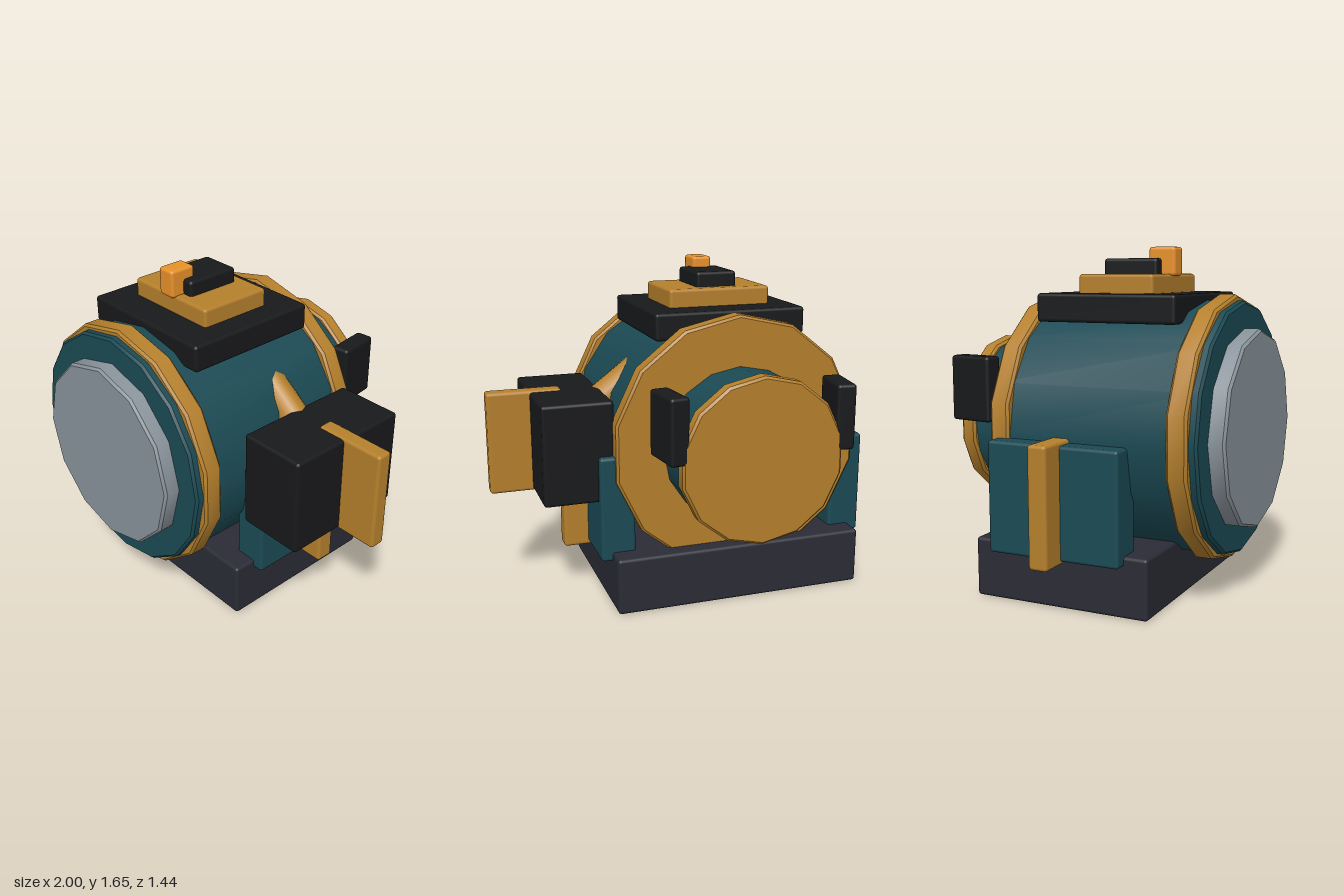
import * as THREE from 'three';
import { toCreasedNormals } from 'three/addons/utils/BufferGeometryUtils.js';
import { RoundedBoxGeometry } from 'three/addons/geometries/RoundedBoxGeometry.js';

const CX = -0.18, CY = 0.79; // axis of the drum

const paint = (color) => new THREE.MeshStandardMaterial({ color });

export function createModel() {
  const model = new THREE.Group();
  const teal = paint(0x1b4a54), gold = paint(0xb5802c), black = paint(0x18191b);
  const slate = paint(0x2a2c35), steel = paint(0x8a949c), orange = paint(0xe8912a);

  const add = (name, geometry, material) => {
    const mesh = new THREE.Mesh(geometry, material);
    mesh.name = name;
    model.add(mesh);
    return mesh;
  };

  // Softly bevelled box given by its extents on each axis
  const box = (name, material, [x0, x1], [y0, y1], [z0, z1], bevel = 0.016) => {
    const mesh = add(name, new RoundedBoxGeometry(x1 - x0, y1 - y0, z1 - z0, 2, bevel), material);
    mesh.position.set((x0 + x1) / 2, (y0 + y1) / 2, (z0 + z1) / 2);
    return mesh;
  };

  // Bevelled many-sided disc along z, centred on the drum axis
  const disc = (name, material, radius, z0, z1, sides, b = 0.012) => {
    const profile = [[0, z0], [radius - b, z0], [radius, z0 + b], [radius, z1 - b], [radius - b, z1], [0, z1]]
      .map(([r, z]) => new THREE.Vector2(r, z));
    const geometry = new THREE.LatheGeometry(profile, sides).rotateX(Math.PI / 2);
    add(name, toCreasedNormals(geometry, 0.55), material).position.set(CX, CY, 0);
  };

  // Main drum with its hoops and front window
  disc('drum', teal, 0.61, -0.385, 0.64, 16);
  disc('frontHoop', gold, 0.64, 0.5, 0.6, 14);
  disc('rearHoop', gold, 0.64, -0.39, -0.29, 14);
  disc('frontWindow', steel, 0.48, 0.6, 0.72, 12);

  // Rear neck and cap
  disc('rearNeck', teal, 0.39, -0.66, -0.36, 16);
  disc('rearCap', gold, 0.41, -0.71, -0.63, 14);

  // Base block
  box('base', slate, [-0.82, 0.465], [0, 0.285], [-0.47, 0.425]);

  // Mirrored supports, fins and rear clamps
  for (const side of [-1, 1]) {
    const label = side > 0 ? 'left' : 'right';
    const span = (a, b) => [CX + side * a, CX + side * b].sort((p, q) => p - q);
    box(label + 'Support', teal, span(0.525, 0.698), [0.24, 0.77], [-0.36, 0.31]);
    box(label + 'Fin', gold, span(0.58, 0.822), [0.225, 0.79], [-0.073, 0.022]);
    const clamp = box(label + 'RearClamp', black, span(0.38, 0.475), [0.81, 1.13], [-0.715, -0.48]);
    clamp.rotation.y = side * 0.13;
  }

  // Side box with its plate, held to the drum by a slanted strut
  box('sideBox', black, [0.435, 0.785], [0.54, 1.04], [-0.325, 0.35]);
  box('sidePlate', gold, [0.625, 0.998], [0.535, 1.05], [-0.03, 0.052]);
  const from = new THREE.Vector3(0.2, 1.14, 0), to = new THREE.Vector3(0.6, 0.84, 0);
  const strut = add('strut', new THREE.CylinderGeometry(0.08, 0.08, from.distanceTo(to), 12), gold);
  strut.position.lerpVectors(from, to, 0.5);
  strut.quaternion.setFromUnitVectors(new THREE.Vector3(0, 1, 0), to.clone().sub(from).normalize());

  // Stack on top
  box('topPlate', black, [-0.57, 0.21], [1.3, 1.435], [-0.27, 0.445]);
  box('topPanel', gold, [-0.445, 0.085], [1.42, 1.525], [-0.11, 0.28]);
  box('topBlock', black, [-0.285, -0.075], [1.5, 1.6], [-0.055, 0.23]);
  box('topLever', orange, [-0.23, -0.13], [1.515, 1.655], [0.16, 0.3]);

  return model;
}
